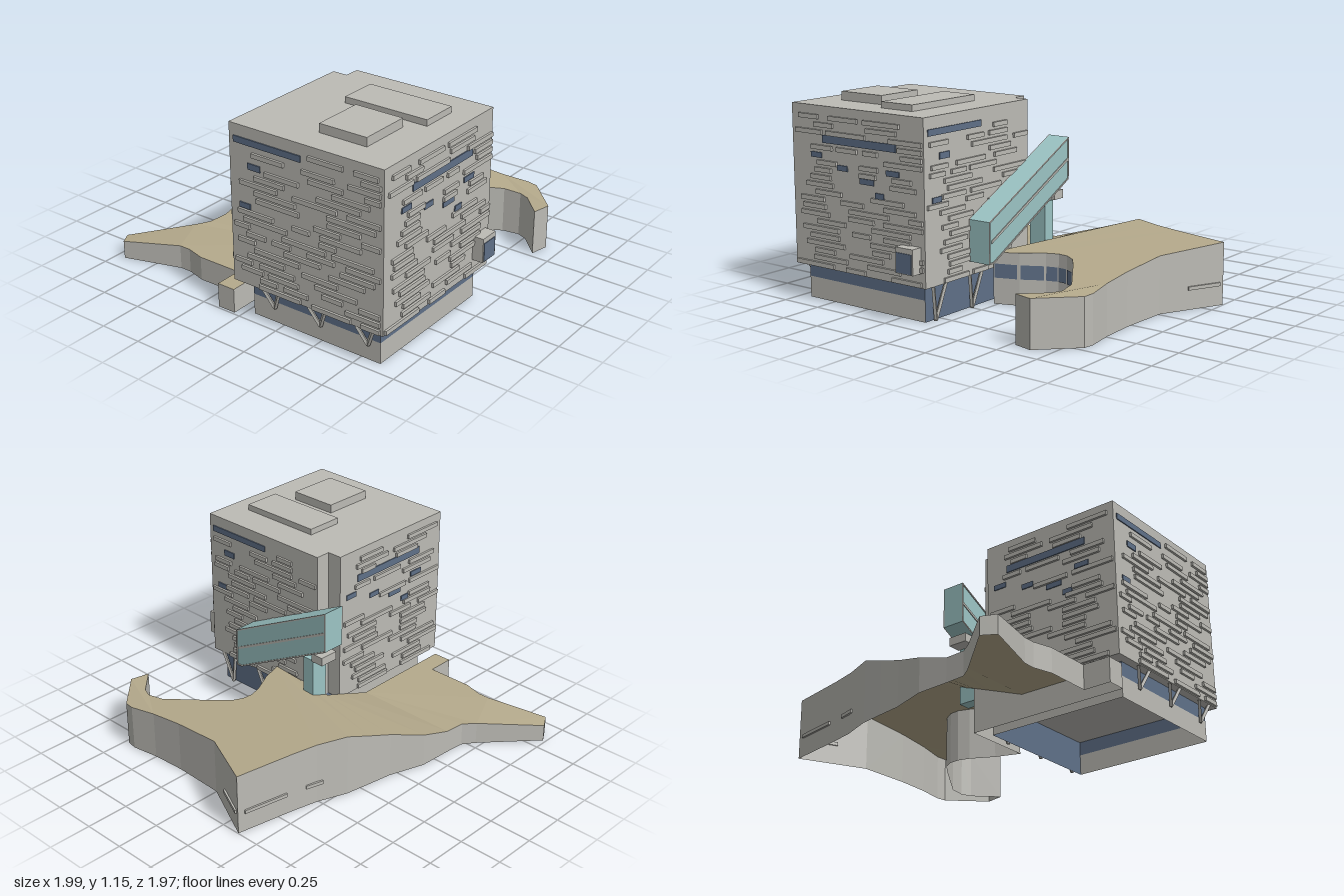
import * as THREE from 'three';

const mat = (name, color, side = THREE.FrontSide) => {
  const m = new THREE.MeshStandardMaterial({ color, side });
  m.name = name;
  return m;
};

export function createModel() {
  const concrete = mat('concrete', 0xbcbbb5, THREE.DoubleSide);
  const glass = mat('blue glass', 0x5f7088, THREE.DoubleSide);
  const teal = mat('teal glass', 0x9cc4c4);
  const earth = mat('tan roof', 0xb5aa8c, THREE.DoubleSide);
  const root = new THREE.Group();

  const add = (parent, name, geo, material) => {
    const m = new THREE.Mesh(geo, material);
    m.name = name;
    parent.add(m);
    return m;
  };
  // box given by its minimum and maximum on each axis
  const box = (parent, name, material, x0, x1, y0, y1, z0, z1) => {
    const m = add(parent, name, new THREE.BoxGeometry(x1 - x0, y1 - y0, z1 - z0), material);
    m.position.set((x0 + x1) / 2, (y0 + y1) / 2, (z0 + z1) / 2);
    return m;
  };
  const beam = (name, a, b, w, material) => {
    const A = new THREE.Vector3(...a), B = new THREE.Vector3(...b);
    const m = add(root, name, new THREE.BoxGeometry(w, w, A.distanceTo(B)), material);
    m.position.copy(A).lerp(B, 0.5);
    m.lookAt(B);
  };
  const quads = (list) => {
    const p = [];
    for (const [a, b, c, d] of list) p.push(...a, ...b, ...c, ...a, ...c, ...d);
    const g = new THREE.BufferGeometry();
    g.setAttribute('position', new THREE.Float32BufferAttribute(p, 3));
    g.computeVertexNormals();
    return g;
  };
  const shapeOf = (pts) => new THREE.Shape(pts.map(([x, y]) => new THREE.Vector2(x, y)));
  let seed = 7;
  const rand = () => (seed = (seed * 16807) % 2147483647) / 2147483647;

  // cube with a notched back corner
  const plan = [[-0.98, -0.92], [-0.03, -0.92], [-0.03, -0.05], [-0.12, -0.05], [-0.12, 0.04], [-0.98, 0.04]];
  const cube = new THREE.ExtrudeGeometry(shapeOf(plan), { depth: 0.9, bevelEnabled: false });
  cube.rotateX(-Math.PI / 2);
  add(root, 'cube', cube, concrete).position.y = 0.2;
  box(root, 'roofUnitLeft', concrete, -0.82, -0.52, 1.1, 1.15, 0.41, 0.7);
  box(root, 'roofUnitRight', concrete, -0.44, -0.22, 1.1, 1.135, 0.28, 0.79);

  // facades: protruding slats and strip windows, in local u (across) and y
  const longWin = [[-0.245, 0.285, 0.9, 0.942], [-0.335, -0.255, 0.815, 0.845], [-0.14, -0.065, 0.76, 0.79],
    [0.025, 0.125, 0.705, 0.735], [0.215, 0.305, 0.77, 0.8], [0.135, 0.195, 0.64, 0.67]];
  const sideWin = [[-0.45, -0.02, 1, 1.035], [-0.36, -0.28, 0.87, 0.905], [-0.42, -0.35, 0.645, 0.675]];
  const facade = (name, pos, turn, u0, u1, windows) => {
    const f = new THREE.Group();
    f.name = name;
    f.position.set(...pos);
    f.rotation.y = turn;
    root.add(f);
    for (const [a, b, c, d] of windows) box(f, 'stripWindow', glass, a, b, c, d, -0.002, 0.006);
    for (let y = 0.205; y < 1.05; y += 0.041) {
      let u = u0 + rand() * 0.18;
      while (u < u1 - 0.08) {
        const end = Math.min(u + 0.1 + rand() * 0.2, u1);
        const hit = windows.some(([a, b, c, d]) => u < b && end > a && y < d && y + 0.025 > c);
        if (!hit) box(f, 'slat', concrete, u, end, y, y + 0.025, -0.004, 0.013);
        u = end + 0.03 + rand() * 0.22;
      }
    }
  };
  facade('frontFacade', [-0.505, 0, 0.92], 0, -0.465, 0.465, longWin);
  facade('rightFacade', [-0.03, 0, 0.44], Math.PI / 2, -0.465, 0.38, sideWin);
  facade('backFacade', [-0.505, 0, -0.04], Math.PI, -0.375, 0.465, longWin);
  facade('leftFacade', [-0.98, 0, 0.44], -Math.PI / 2, -0.465, 0.465, sideWin);

  // bay window
  box(root, 'bay', concrete, -0.18, -0.06, 0.28, 0.42, 0.92, 0.985);
  box(root, 'bayWindow', glass, -0.172, -0.068, 0.285, 0.392, 0.98, 0.989);

  // open plinth: concrete base with a glass band, fully glazed on the right
  const ring = [[-0.93, 0.05], [-0.93, 0.87], [-0.08, 0.87], [-0.08, 0.05]];
  const wall = (pts, bottom, top) => quads(pts.slice(1).map(([x1, z1], i) => {
    const [x0, z0] = pts[i];
    return [[x0, bottom(x0, z0), z0], [x1, bottom(x1, z1), z1], [x1, top(x1, z1), z1], [x0, top(x0, z0), z0]];
  }));
  const at = (v) => () => v;
  add(root, 'plinthBase', wall([ring[3], ...ring.slice(0, 3)], at(0), at(0.12)), concrete);
  add(root, 'plinthGlass', wall([ring[3], ...ring.slice(0, 3)], at(0.12), at(0.2)), glass);
  add(root, 'plinthSideGlass', wall(ring.slice(2), at(0), at(0.2)), glass);

  // leaning V columns on both sides
  for (const z of [0.8, 0.5, 0.2]) for (const s of [-1, 1]) {
    beam('rightColumn', [-0.068, 0.0, z], [-0.04, 0.2, z + s * 0.05], 0.016, concrete);
    beam('leftColumn', [-0.94, 0.09, z], [-0.97, 0.2, z + s * 0.05], 0.016, concrete);
  }

  // sloping landscape roof: low on the left, ramping up to a tilted plane
  const height = (x, z) => {
    const low = 0.14 - Math.max(0, -0.65 - z) * 0.12;
    const high = Math.min(0.365, 0.265 + Math.max(0, 0.7 - z) * 0.084);
    const t = THREE.MathUtils.clamp((x + 0.35) / (0.48 - 0.4 * z), 0, 1);
    return low + (high - low) * t;
  };
  const left = [[-0.35, -0.04], [-0.99, -0.04], [-0.99, -0.15], [-0.83, -0.15], [-0.83, -0.42], [-0.8, -0.53],
    [-0.8, -0.6], [-0.905, -0.94], [-0.83, -0.985], [-0.54, -0.72], [-0.47, -0.67], [-0.35, -0.66]];
  const rampBack = [[-0.35, -0.66], [-0.16, -0.65], [0.05, -0.58], [0.2, -0.555], [0.34, -0.53]];
  const rampFront = [[-0.35, -0.04], [-0.12, -0.04], [-0.02, -0.04], [-0.02, 0.15], [-0.02, 0.37]];
  const outer = [[0.34, -0.53], [0.51, -0.465], [0.66, -0.43], [1, -0.365], [0.82, 0], [0.81, 0.3], [0.82, 0.5],
    [0.845, 0.66], [0.835, 0.72], [0.64, 0.91], [0.53, 0.885], [0.66, 0.76], [0.685, 0.7], [0.67, 0.6], [0.5, 0.35]];
  const bay = [[0.5, 0.35], [0.44, 0.27], [0.38, 0.235], [0.32, 0.23], [0.25, 0.25], [0.12, 0.32], [-0.02, 0.37]];
  const right = [...outer, ...bay.slice(1)];
  for (const [name, pts] of [['lowRoof', left], ['highRoof', right]]) {
    const g = new THREE.ShapeGeometry(shapeOf(pts.map(([x, z]) => [x, -z]))).rotateX(-Math.PI / 2).toNonIndexed();
    const p = g.attributes.position;
    for (let i = 0; i < p.count; i++) p.setY(i, height(p.getX(i), p.getZ(i)));
    g.computeVertexNormals();
    add(root, name, g, earth);
  }
  const lift = ([x, z]) => [x, height(x, z), z];
  add(root, 'rampRoof', quads(rampBack.slice(1).map((b, i) =>
    [lift(rampBack[i]), lift(rampFront[i]), lift(rampFront[i + 1]), lift(b)])), earth);
  const rim = [...left, ...rampBack.slice(1), ...right.slice(1), ...rampFront.slice(0, -1).reverse()];
  add(root, 'landscapeWall', wall(rim, at(0), height), concrete);

  // glazing around the curved court
  for (let i = 0; i < bay.length - 1; i++) {
    const [a, b] = [bay[i], bay[i + 1]];
    const mix = (t) => [a[0] + (b[0] - a[0]) * t, a[1] + (b[1] - a[1]) * t + 0.006];
    add(root, 'courtWindow', wall([mix(0.94), mix(0.06)], at(0.15), at(0.23)), glass);
  }
  // slot ledges on the outer walls
  beam('slotLedge', [0.9, 0.122, -0.16], [0.99, 0.122, -0.345], 0.02, concrete);
  beam('slotLedge', [0.96, 0.122, -0.373], [0.7, 0.122, -0.423], 0.02, concrete);
  beam('slotLedge', [0.58, 0.122, -0.448], [0.48, 0.122, -0.476], 0.02, concrete);

  // inclined glass stair tube, drawn in (-z, y)
  const side = [[-0.57, 0.28], [-0.53, 0.282], [0.145, 0.635], [0.145, 0.875], [-0.57, 0.512]];
  const inner = [[-0.563, 0.288], [-0.532, 0.29], [0.138, 0.64], [0.138, 0.863], [-0.563, 0.507]];
  const stair = new THREE.Group();
  stair.name = 'stairTube';
  stair.rotation.y = Math.PI / 2;
  root.add(stair);
  const slab = (name, shape, x, depth, material) => {
    add(stair, name, new THREE.ExtrudeGeometry(shape, { depth, bevelEnabled: false }), material).position.z = x;
  };
  slab('tubeGlass', shapeOf(side), -0.02, 0.13, teal);
  const frame = shapeOf(side);
  frame.holes.push(shapeOf(inner));
  const rail = shapeOf([[-0.55, 0.392], [0.138, 0.742], [0.138, 0.757], [-0.55, 0.407]]);
  for (const x of [-0.025, 0.11]) {
    slab('tubeFrame', frame, x, 0.005, concrete);
    slab('tubeRail', rail, x, 0.005, concrete);
  }

  // glazed lift shaft and landing under the upper end of the tube
  box(root, 'shaftGlass', teal, -0.015, 0.09, 0.2, 0.53, -0.03, 0.045);
  box(root, 'landing', concrete, -0.015, 0.1, 0.53, 0.58, -0.11, -0.03);
  return root;
}
